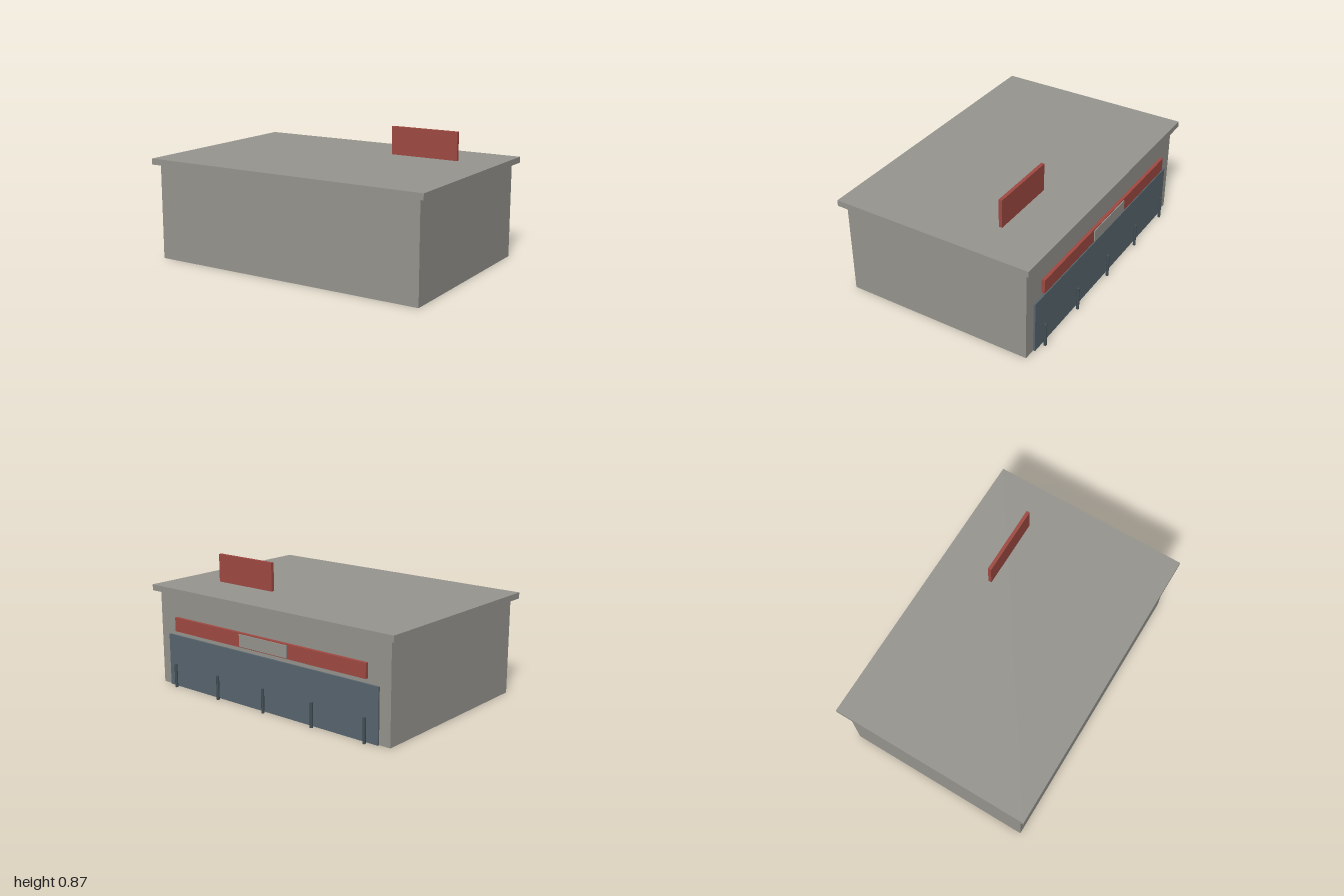
import * as THREE from 'three';

export function createModel() {
  const model = new THREE.Group();
  model.name = 'shopBuilding';

  const material = (name, color) => {
    const m = new THREE.MeshStandardMaterial({ color });
    m.name = name;
    return m;
  };
  const concrete = material('concrete grey', 0x96958f);
  const signRed = material('sign red', 0xa04a42);
  const glass = material('slate glass', 0x58666f);
  const steel = material('dark steel', 0x435056);

  const add = (name, geometry, mat, x, y, z) => {
    const mesh = new THREE.Mesh(geometry, mat);
    mesh.name = name;
    mesh.position.set(x, y, z);
    model.add(mesh);
  };
  // Box given by its lower and upper limits on each axis
  const box = (name, mat, [x0, x1], [y0, y1], [z0, z1]) =>
    add(name, new THREE.BoxGeometry(x1 - x0, y1 - y0, z1 - z0), mat,
      (x0 + x1) / 2, (y0 + y1) / 2, (z0 + z1) / 2);

  // Main block and overhanging roof slab
  box('walls', concrete, [-0.96, 0.96], [0, 0.638], [-0.637, 0.645]);
  box('roofSlab', concrete, [-1, 1], [0.638, 0.678], [-0.675, 0.684]);

  // Upright panel on the roof
  box('roofSign', signRed, [0.24, 0.72], [0.678, 0.867], [-0.325, -0.302]);

  // Shopfront on the rear wall
  box('shopGlazing', glass, [-0.88, 0.88], [0, 0.352], [-0.65, -0.633]);
  box('fasciaBand', signRed, [-0.8, 0.8], [0.386, 0.48], [-0.664, -0.642]);
  box('fasciaPlate', concrete, [-0.2, 0.2], [0.393, 0.473], [-0.671, -0.662]);

  // Row of bollards in front of the glazing
  const bollard = new THREE.CylinderGeometry(0.01, 0.01, 0.16, 8);
  for (let i = -2; i <= 2; i++) {
    add(`bollard${i + 3}`, bollard, steel, i * 0.4, 0.08, -0.674);
  }
  return model;
}
